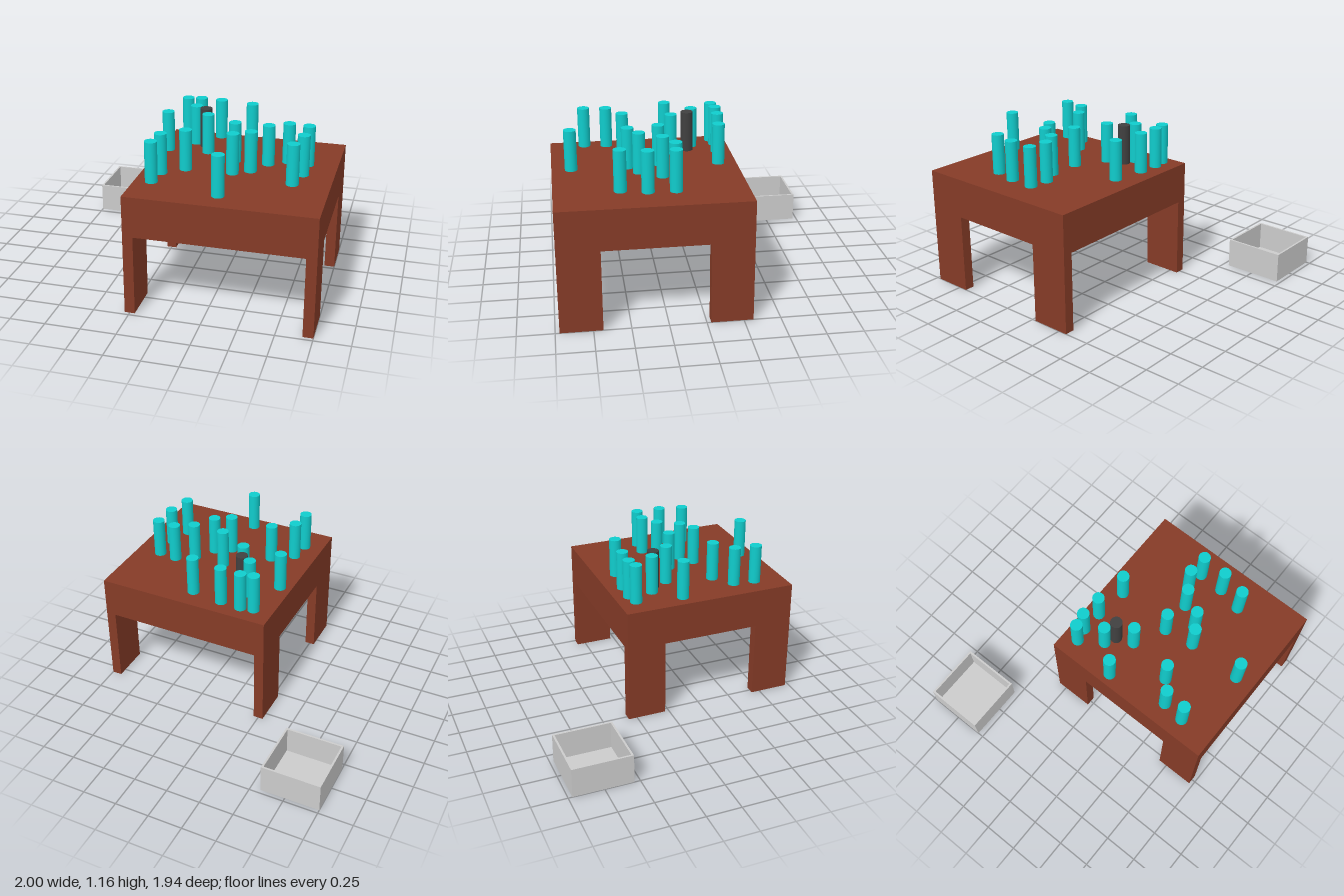
import * as THREE from 'three';

// The design is laid out in whole units; 70 units = 1
const U = 1 / 70;

const brown = new THREE.MeshStandardMaterial({ color: 0x853b27 });
const teal = new THREE.MeshStandardMaterial({ color: 0x10cccc });
const dark = new THREE.MeshStandardMaterial({ color: 0x404040 });
const grey = new THREE.MeshStandardMaterial({ color: 0xcccccc });

// Box whose base centre sits at (x, y, z)
function box(name, material, w, h, d, x, y, z) {
  const mesh = new THREE.Mesh(new THREE.BoxGeometry(w * U, h * U, d * U), material);
  mesh.position.set(x * U, (y + h / 2) * U, z * U);
  mesh.name = name;
  return mesh;
}

// Table: thick slab on four broad, thin legs flush with its corners
function createTable() {
  const table = new THREE.Group();
  table.name = 'table';
  table.add(box('tableTop', brown, 90, 20, 90, 0, 40, 0));
  for (const sx of [-1, 1]) {
    for (const sz of [-1, 1]) {
      table.add(box('tableLeg', brown, 5, 40, 20, sx * 42.5, 0, sz * 35));
    }
  }
  table.position.set(25 * U, 0, 23 * U);
  return table;
}

// Tray: open box with thin floor and walls
function createTray() {
  const tray = new THREE.Group();
  tray.name = 'tray';
  tray.add(box('trayFloor', grey, 30, 1, 30, 0, 0, 0));
  for (const s of [-1, 1]) {
    tray.add(box('traySideWall', grey, 1, 14, 30, s * 14.5, 1, 0));
    tray.add(box('trayEndWall', grey, 28, 14, 1, 0, 1, s * 14.5));
  }
  tray.position.set(-55 * U, 0, -53 * U);
  return tray;
}

// Pegs hovering just above the table: [x, z]
const PEGS = [
  [-0.155, -0.2], [-0.06, -0.217], [0.094, -0.209], [0.329, -0.179], [-0.05, -0.04],
  [-0.21, 0.134], [0.076, 0.12], [0.297, 0.235], [0.532, 0.232], [0.66, 0.16],
  [0.798, 0.174], [0.792, 0.358], [0.439, 0.382], [0.329, 0.449], [0.006, 0.46],
  [-0.138, 0.567], [-0.156, 0.725], [0.752, 0.534], [0.324, 0.837],
];

function createPegs() {
  const pegs = new THREE.Group();
  pegs.name = 'pegs';
  const geometry = new THREE.CylinderGeometry(3 * U, 3 * U, 20 * U, 32);
  const addPeg = (name, material, x, z) => {
    const peg = new THREE.Mesh(geometry, material);
    peg.position.set(x, 71.2 * U, z);
    peg.name = name;
    pegs.add(peg);
  };
  for (const [x, z] of PEGS) addPeg('peg', teal, x, z);
  addPeg('darkPeg', dark, 0.03, 0);
  return pegs;
}

export function createModel() {
  const model = new THREE.Group();
  model.name = 'tableWithPegsAndTray';
  model.add(createTable(), createTray(), createPegs());
  return model;
}
